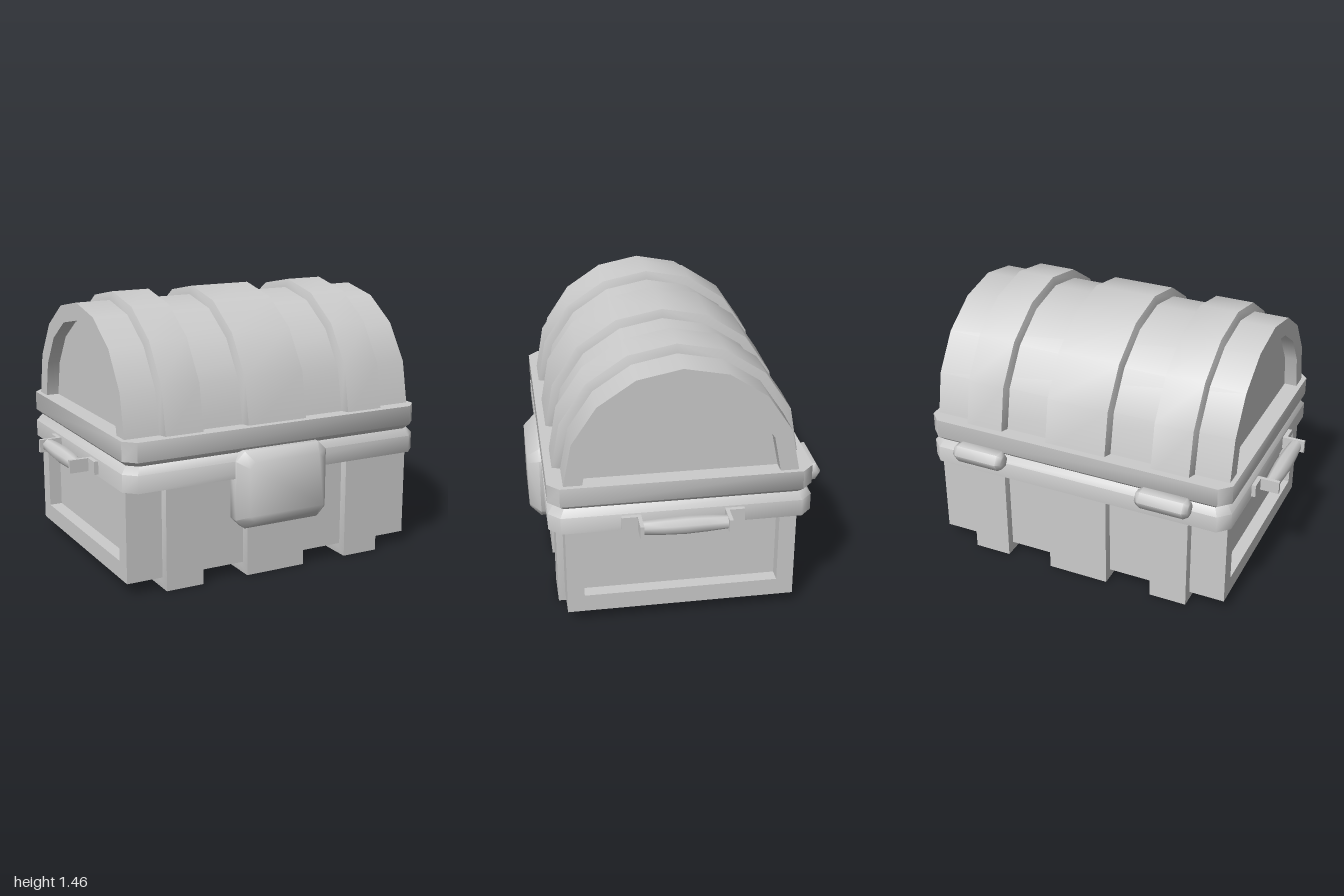
import * as THREE from 'three';
import { toCreasedNormals } from 'three/addons/utils/BufferGeometryUtils.js';

const material = new THREE.MeshStandardMaterial({ color: 0xcccccc });
const V = (x, y) => new THREE.Vector2(x, y);

function addMesh(parent, name, geometry, crease = 0.6) {
  const mesh = new THREE.Mesh(toCreasedNormals(geometry, crease), material);
  mesh.name = name;
  parent.add(mesh);
  return mesh;
}

// Half of a 16-sided circle, anticlockwise
function arch(r, cy) {
  return Array.from({ length: 9 }, (_, i) => {
    const a = (i * Math.PI) / 8;
    return V(r * Math.cos(a), cy + r * Math.sin(a));
  });
}

const box = (hw, y0, y1) => [V(hw, y1), V(-hw, y1), V(-hw, y0), V(hw, y0)];

// Rectangle with cut corners, anticlockwise
function chamferRing(hw, hh, c) {
  return [V(hw, -hh + c), V(hw, hh - c), V(hw - c, hh), V(-hw + c, hh),
    V(-hw, hh - c), V(-hw, -hh + c), V(-hw + c, -hh), V(hw - c, -hh)];
}

function polygonRing(r, sides, turn = 0) {
  return Array.from({ length: sides }, (_, i) => {
    const a = turn + (i * 2 * Math.PI) / sides;
    return V(r * Math.cos(a), r * Math.sin(a));
  });
}

// Skin a stack of [distance, ring] sections along z and cap both ends
function loft(sections) {
  const out = [];
  const put = (s, i) => {
    const p = s[1][i % s[1].length];
    out.push(p.x, p.y, s[0]);
  };
  const n = sections[0][1].length;
  for (let k = 0; k < sections.length - 1; k++) {
    const a = sections[k], b = sections[k + 1];
    for (let i = 0; i < n; i++) {
      put(a, i); put(a, i + 1); put(b, i + 1);
      put(a, i); put(b, i + 1); put(b, i);
    }
  }
  const first = sections[0], last = sections[sections.length - 1];
  for (let i = 1; i < n - 1; i++) {
    put(first, 0); put(first, i + 1); put(first, i);
    put(last, 0); put(last, i); put(last, i + 1);
  }
  const g = new THREE.BufferGeometry();
  g.setAttribute('position', new THREE.Float32BufferAttribute(out, 3));
  return g;
}

// Extrude an end profile along x between x0 and x1, optionally bulging outward
function alongX(points, x0, x1, bulge = 0) {
  const slope = bulge ? 0.015 : 0;
  const g = new THREE.ExtrudeGeometry(new THREE.Shape(points), {
    depth: x1 - x0 - 2 * slope, bevelEnabled: bulge > 0,
    bevelSize: bulge, bevelThickness: slope, bevelSegments: 1,
  });
  return g.translate(0, 0, x0 + slope).rotateY(Math.PI / 2);
}

export function createModel() {
  const model = new THREE.Group();
  model.name = 'chest';
  const body = new THREE.Group();
  body.name = 'chestBody';
  body.position.z = 0.01;
  model.add(body);

  // Lid and base shells with recessed end panels
  const lidY = 0.815, baseY = 0.065, seam = 0.6;
  addMesh(body, 'lidShell',
    alongX([...arch(0.6, lidY), ...arch(0.505, lidY).reverse()], -0.85, 0.85));
  addMesh(body, 'lidEndPanels', alongX(arch(0.505, lidY), -0.78, 0.78));
  addMesh(body, 'baseShell', alongX([
    V(-0.6, seam), V(-0.6, baseY), V(0.6, baseY), V(0.6, seam),
    V(0.51, seam), V(0.51, 0.16), V(-0.51, 0.16), V(-0.51, seam),
  ], -0.85, 0.85));
  addMesh(body, 'baseEndPanels', alongX(box(0.51, 0.16, seam), -0.78, 0.78));

  // Raised bands around lid and base
  for (const [x0, x1] of [[-0.66, -0.42], [-0.19, 0.185], [0.42, 0.66]]) {
    addMesh(body, 'lidBand', alongX(arch(0.6, lidY), x0, x1, 0.045));
    addMesh(body, 'baseBand', alongX(box(0.57, baseY, seam), x0, x1, 0.065));
  }

  // Two rims meeting at the opening
  const wide = chamferRing(0.875, 0.68, 0.06);
  const narrow = chamferRing(0.845, 0.65, 0.05);
  addMesh(body, 'lowerRim',
    loft([[0.558, wide], [0.65, wide], [0.688, narrow]]).rotateX(-Math.PI / 2), 0.9);
  addMesh(body, 'upperRim',
    loft([[0.688, narrow], [0.715, wide], [0.818, wide]]).rotateX(-Math.PI / 2), 0.9);

  // Front latch plate
  const plate = chamferRing(0.27, 0.207, 0.05);
  const latch = addMesh(body, 'latch',
    loft([[0.63, plate], [0.69, plate], [0.75, chamferRing(0.22, 0.158, 0.03)]]), 0.9);
  latch.position.set(-0.004, 0.493, 0);

  // Back hinges
  const barrel = polygonRing(0.055, 6), tip = polygonRing(0.04, 6);
  for (const x of [-0.54, 0.53]) {
    const hinge = addMesh(body, 'hinge', loft([
      [-0.145, tip], [-0.12, barrel], [0.12, barrel], [0.145, tip],
    ]).rotateY(Math.PI / 2), 1.1);
    hinge.position.set(x, 0.685, -0.72);
  }

  // Side handles: swelling grip between two angle brackets
  for (const side of [-1, 1]) {
    const handle = new THREE.Group();
    handle.name = side > 0 ? 'leftHandle' : 'rightHandle';
    body.add(handle);
    const grip = addMesh(handle, 'grip', loft(
      [[-0.22, 0.035], [-0.11, 0.042], [0, 0.046], [0.11, 0.042], [0.22, 0.035]]
        .map(([d, r]) => [d, polygonRing(r, 8, Math.PI / 8)])), 0.9);
    grip.position.set(side * 0.95, 0.605, 0);
    for (const end of [-1, 1]) {
      const arm = addMesh(handle, 'bracketArm', new THREE.BoxGeometry(0.135, 0.07, 0.02));
      arm.position.set(side * 0.9325, 0.605, end * 0.225);
      const foot = addMesh(handle, 'bracketFoot', new THREE.BoxGeometry(0.03, 0.07, 0.1));
      foot.position.set(side * 0.883, 0.605, end * 0.265);
    }
  }
  return model;
}
